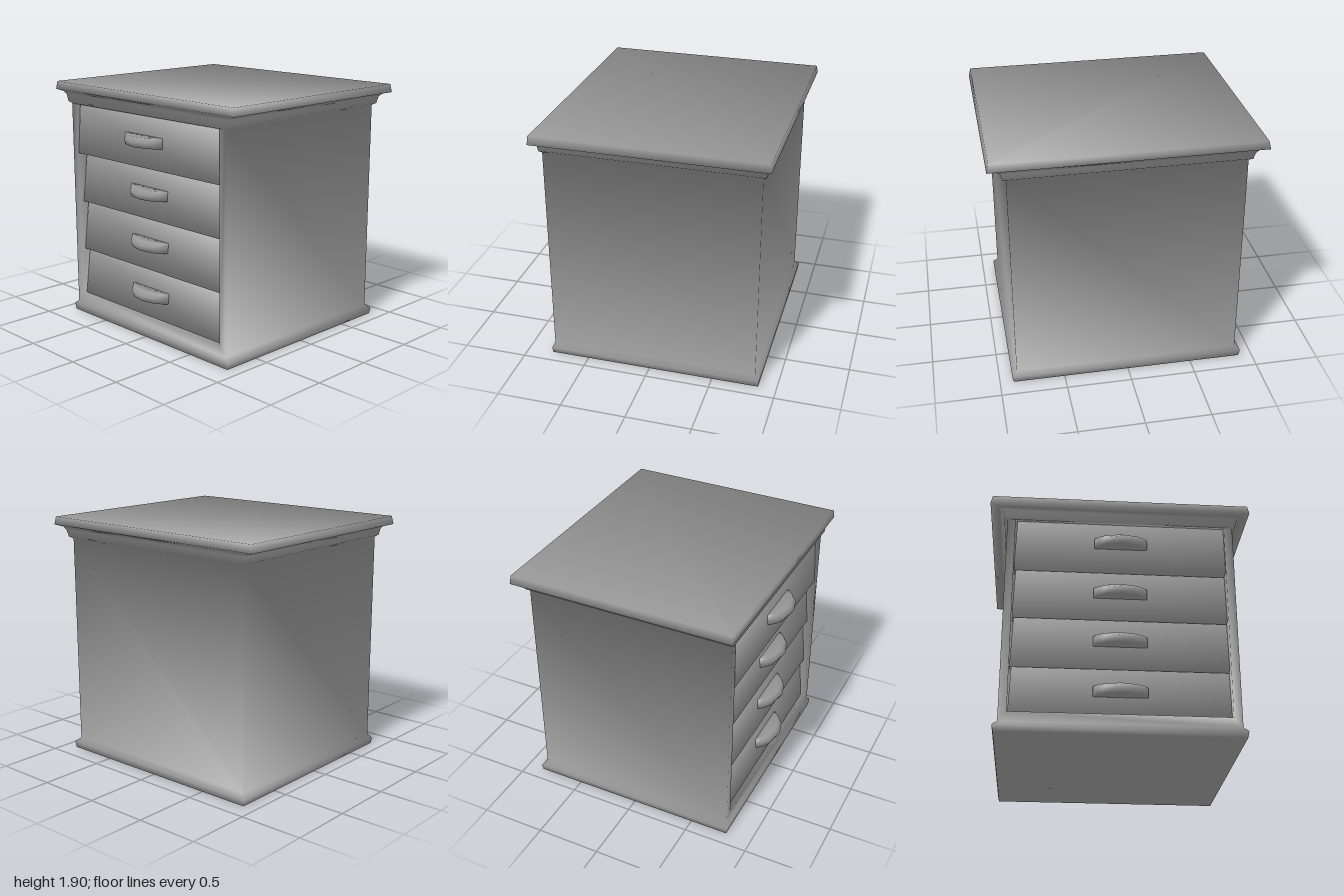
import * as THREE from 'three';

const material = new THREE.MeshStandardMaterial({ color: 0x999999 });

// Collects rings of points and the faces between them into one softly shaded skin.
class Skin {
  points = [];
  triangles = [];

  ring(points) {
    return points.map(([x, y, z]) => this.points.push(new THREE.Vector3(x, y, z)) - 1);
  }

  cap(ring) {
    for (let i = 1; i < ring.length - 1; i++) this.triangles.push([ring[0], ring[i], ring[i + 1]]);
  }

  // Joins two rings side by side, leaving out the side numbered skip.
  bridge(a, b, skip = -1) {
    a.forEach((start, i) => {
      const j = (i + 1) % a.length;
      if (i !== skip) this.triangles.push([a[j], b[j], b[i]], [a[j], b[i], start]);
    });
  }

  // Joins a row of rings and closes both ends.
  loft(rings, skipRing = -1, skipSide = -1) {
    for (let i = 0; i < rings.length - 1; i++) {
      this.bridge(rings[i], rings[i + 1], i === skipRing ? skipSide : -1);
    }
    this.cap([...rings[0]].reverse());
    this.cap(rings[rings.length - 1]);
  }

  // Shared corners get the angle-weighted mean of the faces that meet there.
  geometry() {
    const normals = this.points.map(() => new THREE.Vector3());
    for (const triangle of this.triangles) {
      const corners = triangle.map((i) => this.points[i]);
      const normal = new THREE.Triangle(...corners).getNormal(new THREE.Vector3());
      triangle.forEach((index, k) => {
        const toNext = corners[(k + 1) % 3].clone().sub(corners[k]);
        const toLast = corners[(k + 2) % 3].clone().sub(corners[k]);
        normals[index].addScaledVector(normal, toNext.angleTo(toLast));
      });
    }
    const flat = (list) => new THREE.Float32BufferAttribute(list.flatMap((v) => v.toArray()), 3);
    const geometry = new THREE.BufferGeometry();
    geometry.setAttribute('position', flat(this.points));
    geometry.setAttribute('normal', flat(normals.map((n) => n.normalize())));
    geometry.setIndex(this.triangles.flat());
    return geometry;
  }

  mesh(name) {
    const mesh = new THREE.Mesh(this.geometry(), material);
    mesh.name = name;
    return mesh;
  }
}

// Plinth, walls, cornice and top board in one skin, with a recess in the front.
function cabinet() {
  const skin = new Skin();
  // [y, half width, front z, back z]
  const profile = [
    [0, 0.895, 0.798, -0.86], [0.05, 0.905, 0.8, -0.865], [0.08, 0.867, 0.787, -0.83],
    [1.735, 0.867, 0.787, -0.83], [1.752, 0.892, 0.805, -0.855], [1.805, 0.905, 0.81, -0.867],
    [1.828, 0.935, 0.815, -0.87], [1.842, 1, 0.842, -0.905], [1.905, 0.985, 0.838, -0.9],
  ];
  const rings = profile.map(([y, w, f, b]) => skin.ring([[-w, y, f], [w, y, f], [w, y, b], [-w, y, b]]));
  const wall = 2;
  skin.loft(rings, wall, 0);

  // Front frame around the drawer recess
  const opening = (z) => skin.ring([[-0.805, 0.155, z], [0.803, 0.155, z], [0.803, 1.734, z], [-0.805, 1.734, z]]);
  const [low, high] = [rings[wall], rings[wall + 1]];
  const edge = opening(0.787);
  const recess = opening(0.62);
  skin.bridge([low[0], low[1], high[1], high[0]], edge);
  skin.bridge(edge, recess);
  skin.cap(recess);
  return skin.mesh('cabinet');
}

// Drawer block whose front leans back from its lower edge.
function drawerFront(y0, y1, zBottom, zTop) {
  const skin = new Skin();
  const back = 0.63;
  skin.loft([[y0, zBottom, -0.802], [y1, zTop, -0.79]].map(([y, z, left]) => skin.ring([
    [left, y, z], [0.8, y, z], [0.8, y, back], [left, y, back],
  ])));
  return skin.mesh('drawerFront');
}

// Bulging pull, swept from side to side with a changing depth.
function drawerPull() {
  const skin = new Skin();
  // [x, depth]
  const stations = [[-0.2, 0.01], [-0.165, 0.055], [-0.12, 0.09], [0, 0.122],
    [0.12, 0.09], [0.165, 0.055], [0.2, 0.01]];
  skin.loft(stations.map(([x, d]) => skin.ring([
    [x, 0.04, -0.03], [x, 0.04, d * 0.72], [x, 0.008, d], [x, -0.037, d * 0.78], [x, -0.04, -0.03],
  ])));
  return skin.mesh('drawerPull');
}

export function createModel() {
  const model = new THREE.Group();
  model.name = 'chestOfDrawers';
  model.add(cabinet());

  // Three lower drawers, and a top one pulled slightly forward
  const drawers = [
    // [bottom, top, z at bottom, z at top, pull height, pull z]
    [0.157, 0.53, 0.752, 0.715, 0.342, 0.738],
    [0.537, 0.93, 0.752, 0.715, 0.742, 0.738],
    [0.938, 1.332, 0.752, 0.715, 1.142, 0.738],
    [1.34, 1.732, 0.787, 0.765, 1.546, 0.783],
  ];
  drawers.forEach(([y0, y1, zBottom, zTop, pullY, pullZ], i) => {
    const drawer = new THREE.Group();
    drawer.name = 'drawer' + (i + 1);
    const pull = drawerPull();
    pull.position.set(0, pullY, pullZ);
    drawer.add(drawerFront(y0, y1, zBottom, zTop), pull);
    model.add(drawer);
  });
  return model;
}
